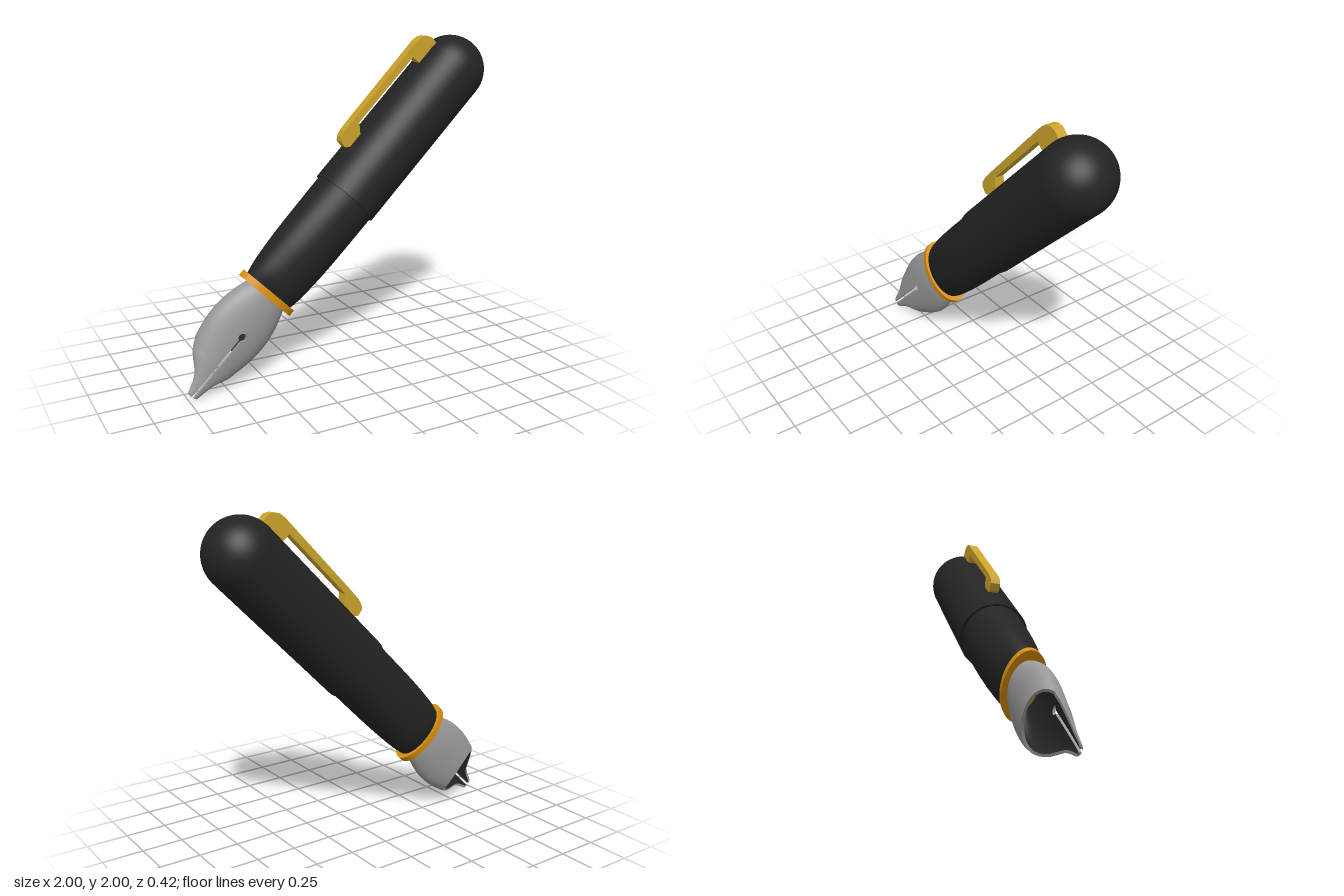
import * as THREE from 'three';

const mat = (name, color) => {
  const m = new THREE.MeshStandardMaterial({ color, side: THREE.DoubleSide });
  m.name = name;
  return m;
};

// Smooth interpolation through a few [position, value] keys, positions ascending
function profile(keys) {
  const pts = new THREE.SplineCurve(keys.map(k => new THREE.Vector2(...k))).getPoints(120);
  return s => {
    let i = 0;
    while (i < pts.length - 2 && pts[i + 1].x < s) i++;
    const k = THREE.MathUtils.clamp((s - pts[i].x) / (pts[i + 1].x - pts[i].x), 0, 1);
    return pts[i].y + (pts[i + 1].y - pts[i].y) * k;
  };
}

// Grid surface from f(u, v) -> [x, y, z]
function surface(f, nu, nv) {
  const pos = [], idx = [];
  for (let i = 0; i <= nu; i++) for (let j = 0; j <= nv; j++) {
    pos.push(...f(i / nu, j / nv));
    if (i < nu && j < nv) {
      const a = i * (nv + 1) + j, b = a + nv + 1;
      idx.push(a, b, a + 1, b, b + 1, a + 1);
    }
  }
  const g = new THREE.BufferGeometry();
  g.setAttribute('position', new THREE.Float32BufferAttribute(pos, 3));
  g.setIndex(idx);
  g.computeVertexNormals();
  return g;
}

export function createModel() {
  const black = mat('black resin', 0x232323);
  const steel = mat('nib steel', 0x989898);
  const amber = mat('collar gold', 0xd88e0c);
  const gold = mat('clip gold', 0xcba42c);

  // The pen is built upright along y, then tilted
  const pen = new THREE.Group();
  pen.name = 'fountainPen';
  const add = (name, geo, material, parent = pen) => {
    const m = new THREE.Mesh(geo, material);
    m.name = name;
    parent.add(m);
    return m;
  };

  // Cap: sleeve and rounded end
  const R = 0.212, y0 = 0.078, y1 = 1.114;
  add('capSleeve', new THREE.CylinderGeometry(R, R, y1 - y0, 64), black).position.y = (y0 + y1) / 2;
  add('capDome', new THREE.SphereGeometry(R, 64, 24, 0, Math.PI * 2, 0, Math.PI / 2), black).position.y = y1;

  // Barrel: round at the cap, flattening to an oval at the collar (y, x radius, z radius)
  const sections = new THREE.CatmullRomCurve3([
    [-0.65, 0.178, 0.1], [-0.566, 0.19, 0.132], [-0.42, 0.199, 0.157],
    [-0.283, 0.202, 0.173], [0, 0.202, 0.19], [0.12, 0.202, 0.194],
  ].map(p => new THREE.Vector3(...p))).getPoints(30);
  const barrel = new THREE.LatheGeometry(sections.map(p => new THREE.Vector2(p.y, p.x)), 64);
  const bp = barrel.attributes.position;
  for (let i = 0; i < bp.count; i++) {
    const p = sections[i % sections.length];
    bp.setZ(i, bp.getZ(i) * p.z / p.y);
  }
  barrel.computeVertexNormals();
  add('barrel', barrel, black);

  // Oval collar
  const collar = new THREE.CylinderGeometry(0.212, 0.212, 0.042, 64);
  collar.scale(1, 1, 0.12 / 0.212);
  add('collar', collar, amber).position.y = -0.657;

  // Clip: side outline extruded across the pen
  const outline = [
    [0.33, 0.2], [0.295, 0.232], [0.301, 0.276], [0.322, 0.293], [0.36, 0.304], [0.465, 0.307],
    [1.06, 0.314], [1.1, 0.308], [1.13, 0.288], [1.149, 0.258], [1.15, 0.19],
    [0.985, 0.19], [0.978, 0.266], [0.462, 0.266], [0.408, 0.2],
  ];
  const clip = new THREE.ExtrudeGeometry(
    new THREE.Shape(outline.map(([s, t]) => new THREE.Vector2(-t, s))),
    { depth: 0.06, bevelEnabled: false });
  clip.translate(0, 0, -0.03);
  add('clip', clip, gold);

  // Nib: hollow oval shell, cut away behind, with slit and breather hole in front
  const nib = new THREE.Group();
  nib.name = 'nib';
  pen.add(nib);
  const root = -0.66, tip = -1.386, wall = 0.016, hole = -0.945;
  const width = profile([[tip, 0.022], [-1.377, 0.036], [-1.275, 0.073], [-1.17, 0.157],
    [-1.04, 0.198], [-0.94, 0.21], [-0.85, 0.205], [-0.75, 0.181], [root, 0.146]]);
  const middle = profile([[tip, 0.084], [-1.35, 0.082], [-1.27, 0.066], [-1.2, 0.028],
    [-1.14, 0], [-1.1, 0], [root, 0]]);
  const front = profile([[tip, 0.104], [-1.25, 0.108], [-1, 0.11], [-0.8, 0.108], [root, 0.096]]);

  const gap = s => Math.max(s < hole ? 0.009 : 0, Math.sqrt(Math.max(0, 0.025 ** 2 - (s - hole) ** 2)));
  const frontHalf = side => (u, v, inset) => {
    const s = root + (tip - root) * u, g = gap(s), zc = middle(s);
    const a = Math.max(width(s) - inset, g + 0.003);
    const b = Math.max(front(s) - zc - inset, 0.002);
    const th = Math.acos(g / a) * v;
    return [side * a * Math.cos(th), s, zc + b * Math.sin(th)];
  };
  const back = (u, v, inset) => {
    const th = Math.PI * v;
    const s = root + (-1.13 + 0.09 * Math.sin(th) - root) * u;
    const b = front(s) - 0.008 - inset;
    return [(width(s) - inset) * Math.cos(th), s, -b * Math.sin(th)];
  };
  const shell = (name, f, nu, nv) => {
    add(name + 'Outside', surface((u, v) => f(u, v, 0), nu, nv), steel, nib);
    add(name + 'Inside', surface((u, v) => f(u, v, wall), nu, nv), black, nib);
    // Rims joining outside to inside
    add(name + 'EndRim', surface((u, v) => f(1, u, v * wall), nv, 1), steel, nib);
    for (const e of [0, 1]) add(name + 'SideRim', surface((u, v) => f(u, e, v * wall), nu, 1), steel, nib);
  };
  shell('nibLeft', frontHalf(1), 160, 16);
  shell('nibRight', frontHalf(-1), 160, 16);
  shell('nibBack', back, 40, 32);

  // Tilt the pen so it stands on its tip
  pen.rotation.z = -Math.PI / 4;
  pen.position.y = 1;
  const model = new THREE.Group();
  model.name = 'model';
  model.add(pen);
  return model;
}
